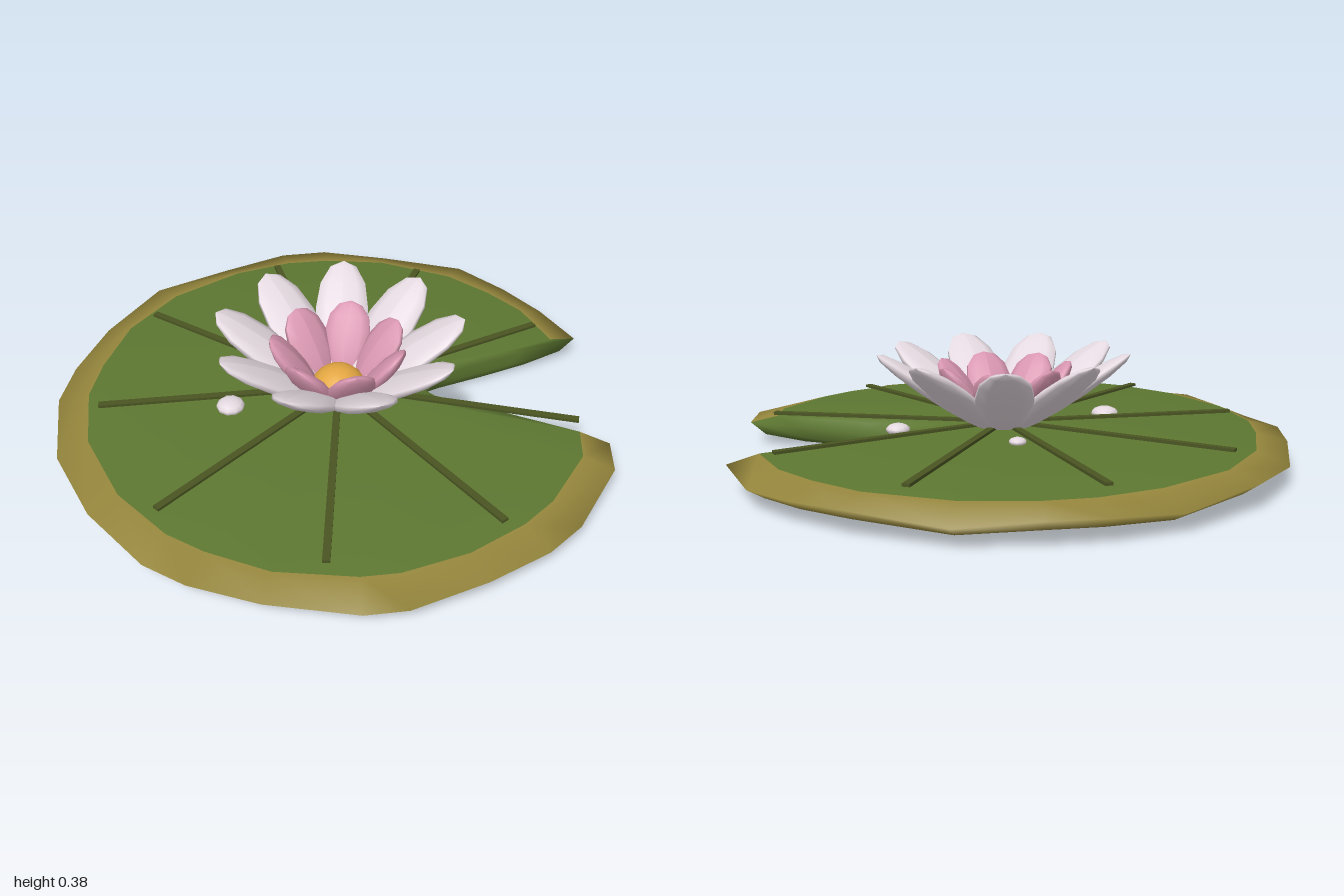
import * as THREE from 'three';

const mat = (name, color) => {
  const m = new THREE.MeshStandardMaterial({ color });
  m.name = name;
  return m;
};

const CX = 0.02; // centre of the flower and the veins

export function createModel() {
  const model = new THREE.Group();
  model.name = 'waterLily';
  const leafGreen = mat('leaf green', 0x5d7731);
  const rimOlive = mat('rim olive', 0x96873d);
  const veinGreen = mat('vein green', 0x495422);
  const petalWhite = mat('petal white', 0xe4d9e0);
  const petalPink = mat('petal pink', 0xd896b0);
  const gold = mat('centre gold', 0xe4a742);

  const add = (parent, name, geometry, material) => {
    const mesh = new THREE.Mesh(geometry, material);
    mesh.name = name;
    parent.add(mesh);
    return mesh;
  };

  // Leaf pad: one outline with a notch, repeated as rings from top to underside
  const rim = [
    [0.97, -0.24], [0.9, -0.47], [0.79, -0.63], [0.64, -0.79], [0.35, -0.95], [0.09, -1],
    [-0.09, -1], [-0.33, -0.94], [-0.62, -0.78], [-0.82, -0.55], [-0.93, -0.29], [-0.98, -0.1],
    [-0.97, 0.19], [-0.85, 0.5], [-0.68, 0.72], [-0.55, 0.82], [-0.33, 0.94], [-0.04, 1],
    [0.1, 1], [0.35, 0.94], [0.57, 0.83], [0.7, 0.73], [0.88, 0.51], [0.91, 0.37],
  ];
  const notch = [
    [0.75, 0.277], [0.56, 0.167], [0.4, 0.08], [0.34, 0.005], [0.4, -0.065], [0.52, -0.11], [0.74, -0.17],
  ];
  const outline = [...rim, ...notch];
  const n = outline.length;
  // scale, height, wave, olive band outside this ring
  const rings = [
    [0, 0.125, 0, false], [0.45, 0.122, 0, false], [0.89, 0.11, 0, true], [1, 0.076, 0.012, true],
    [0.94, 0.035, 0.008, false], [0.78, 0.018, 0, false], [0, 0.023, 0, false],
  ];
  const positions = [];
  for (const [s, y, wave] of rings) {
    for (const [x, z] of outline) {
      const ripple = Math.cos(9 * (Math.atan2(z, x - CX) - 1.22));
      positions.push(CX + (x - CX) * s, y + wave * ripple, z * s);
    }
  }
  const green = [], olive = [];
  for (let r = 0; r < rings.length - 1; r++) {
    for (let i = 0; i < n; i++) {
      const j = (i + 1) % n;
      const a = r * n + i, b = a + n, c = (r + 1) * n + j, d = r * n + j;
      const target = rings[r][3] && i < rim.length - 1 ? olive : green;
      if (r < rings.length - 2) target.push(a, b, c);
      if (r > 0) target.push(a, c, d);
    }
  }
  const padGeo = new THREE.BufferGeometry();
  padGeo.setAttribute('position', new THREE.Float32BufferAttribute(positions, 3));
  padGeo.setIndex([...green, ...olive]);
  padGeo.addGroup(0, green.length, 0);
  padGeo.addGroup(green.length, olive.length, 1);
  padGeo.computeVertexNormals();
  // the collapsed centre rings point straight up and down
  for (let i = 0; i < n; i++) {
    padGeo.attributes.normal.setXYZ(i, 0, 1, 0);
    padGeo.attributes.normal.setXYZ((rings.length - 1) * n + i, 0, -1, 0);
  }
  add(model, 'leafPad', padGeo, [leafGreen, rimOlive]);

  // Everything that radiates is placed on a turned spoke
  const spoke = (name, angle) => {
    const g = new THREE.Group();
    g.name = name;
    g.position.x = CX;
    g.rotation.y = -angle;
    model.add(g);
    return g;
  };

  // Veins
  const veinGeo = new THREE.BoxGeometry(0.75, 0.01, 0.025);
  for (let i = 0; i < 9; i++) {
    const g = spoke('veinSpoke', Math.PI + (i * Math.PI * 2) / 9);
    add(g, 'vein', veinGeo, veinGreen).position.set(0.475, 0.131, 0);
  }

  // Petals: flattened, slightly tapered ellipsoids leaning outward
  const petalGeometry = (length, thick, width) => {
    const geo = new THREE.SphereGeometry(1, 10, 7);
    geo.rotateZ(-Math.PI / 2);
    const p = geo.attributes.position;
    for (let i = 0; i < p.count; i++) {
      const x = p.getX(i);
      p.setXYZ(i, x * length, p.getY(i) * thick, p.getZ(i) * width * (1 + 0.2 * x));
    }
    geo.computeVertexNormals();
    return geo;
  };
  const petalRing = (name, count, start, geo, material, r, y, tilt) => {
    for (let i = 0; i < count; i++) {
      const g = spoke(name + 'Spoke', start + (i * Math.PI * 2) / count);
      const petal = add(g, name, geo, material);
      petal.position.set(r, y, 0);
      petal.rotation.z = tilt;
    }
  };
  petalRing('outerPetal', 9, 0, petalGeometry(0.25, 0.032, 0.1), petalWhite, 0.24, 0.24, 0.61);
  petalRing('innerPetal', 7, -0.35, petalGeometry(0.145, 0.032, 0.085), petalPink, 0.155, 0.225, 0.95);

  // Flower centre, reaching through the pad
  add(model, 'flowerCentre', new THREE.SphereGeometry(0.107, 14, 10), gold).position.set(CX, 0.107, 0);

  // Droplets resting on the pad
  const dropGeo = new THREE.SphereGeometry(1, 10, 7);
  for (const [x, z, size] of [[-0.37, 0.06, 0.05], [0.4, -0.05, 0.042], [0.03, -0.3, 0.03]]) {
    const drop = add(model, 'droplet', dropGeo, petalWhite);
    drop.position.set(x, 0.13, z);
    drop.scale.set(size, size * 0.5, size);
  }
  return model;
}
